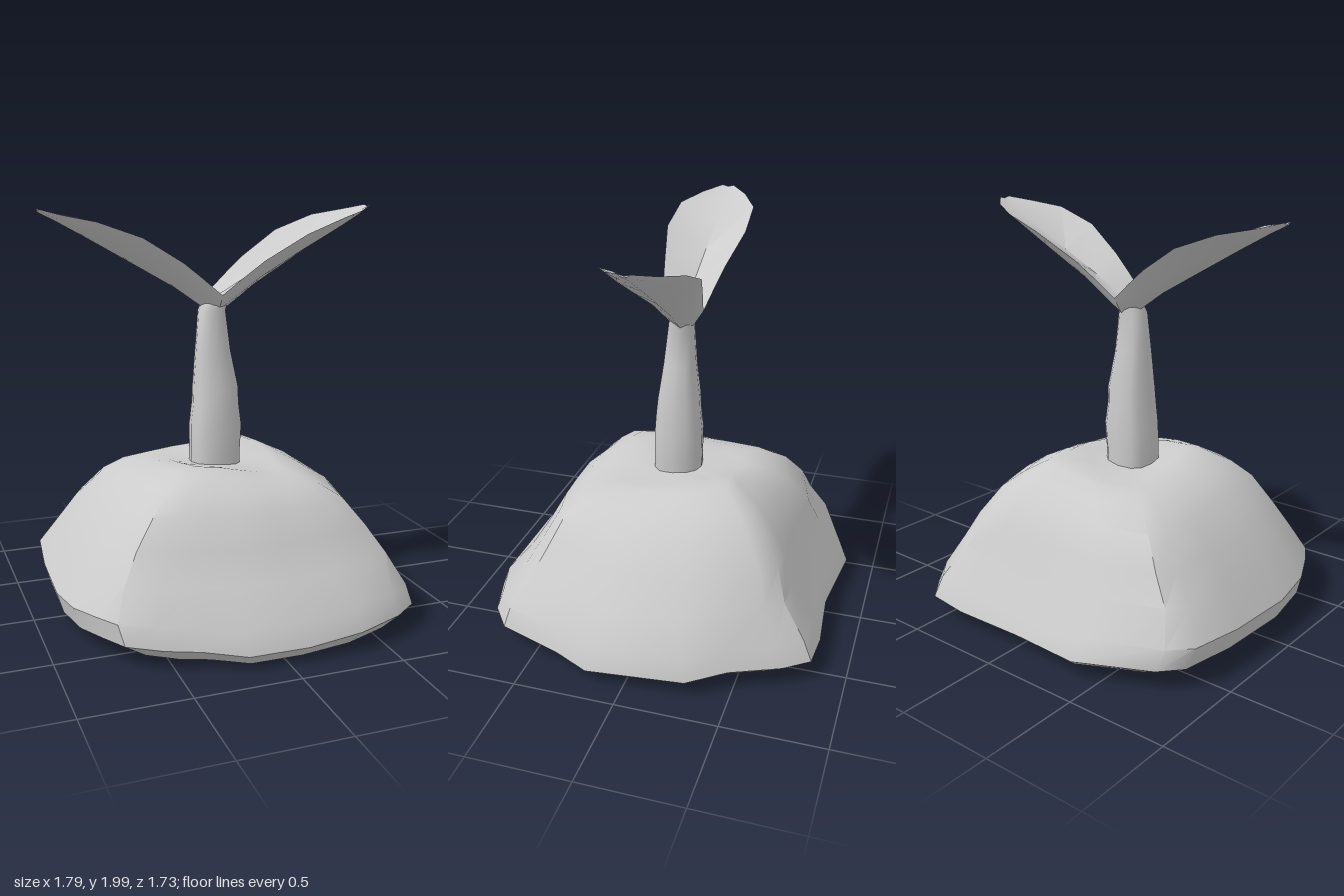
import * as THREE from 'three';
import { toCreasedNormals } from 'three/addons/utils/BufferGeometryUtils.js';

// Skin a list of closed rings (arrays of [x, y, z]); both ends are capped at their mean centre.
function loft(rings, crease) {
  const n = rings[0].length;
  const mean = (r) => [0, 1, 2].map((k) => r.reduce((s, p) => s + p[k], 0) / n);
  const last = rings.length - 1;
  const points = [...rings.flat(), mean(rings[0]), mean(rings[last])];
  const index = [];
  for (let j = 0; j < n; j++) {
    const k = (j + 1) % n;
    for (let i = 0; i < last; i++) {
      const a = i * n + j, b = i * n + k;
      index.push(a, b, b + n, a, b + n, a + n);
    }
    index.push(points.length - 2, k, j);
    index.push(points.length - 1, last * n + j, last * n + k);
  }
  const geometry = new THREE.BufferGeometry();
  geometry.setAttribute('position', new THREE.Float32BufferAttribute(points.flat(), 3));
  geometry.setIndex(index);
  return toCreasedNormals(geometry, crease);
}

// Lumpy, rounded-square outline of the mound, seen from above as [x, z].
const outline = [
  [-0.2, 0.86], [0.1, 0.86], [0.37, 0.845], [0.6, 0.77], [0.73, 0.67], [0.82, 0.35], [0.89, 0.18],
  [0.86, -0.3], [0.75, -0.48], [0.65, -0.72], [0.55, -0.84], [0.35, -0.85], [0, -0.82],
  [-0.4, -0.87], [-0.77, -0.72], [-0.86, -0.61], [-0.89, -0.3], [-0.9, 0.1], [-0.87, 0.35],
  [-0.8, 0.52], [-0.73, 0.65], [-0.57, 0.74], [-0.4, 0.78],
];

// Mound levels: y, reach to -x, +x, -z, +z, lift at the four corners,
// lift at the front right and back left corners only, and squareness.
const levels = [
  [0.02, 0.74, 0.8, 0.78, 0.8, 0.014, 0, 0],
  [0.09, 0.87, 0.89, 0.865, 0.86, 0.022, 0, 0],
  [0.19, 0.9, 0.86, 0.82, 0.825, 0.02, 0, 0],
  [0.34, 0.805, 0.75, 0.7, 0.695, 0.012, 0, 0.15],
  [0.48, 0.7, 0.635, 0.645, 0.605, 0.006, 0, 0.25],
  [0.62, 0.575, 0.515, 0.545, 0.53, 0, 0.006, 0.32],
  [0.692, 0.475, 0.4, 0.46, 0.45, 0, 0.012, 0.32],
  [0.74, 0.36, 0.29, 0.37, 0.35, 0, 0.02, 0.3],
  [0.75, 0.27, 0.23, 0.32, 0.27, 0, 0.028, 0.25],
  [0.738, 0.18, 0.12, 0.2, 0.16, 0, 0.01, 0.2],
];

function moundGeometry() {
  const rings = levels.map(([y, left, right, back, front, corners, diagonal, square]) =>
    outline.map(([x, z]) => {
      const u = x / (x < 0 ? 0.9 : 0.89), v = z / (z < 0 ? 0.87 : 0.86);
      const grow = 1 + square * (1 / Math.max(Math.abs(u), Math.abs(v)) - 1);
      const angle = Math.atan2(x, z);
      return [
        u * grow * (x < 0 ? left : right),
        y + corners * Math.sin(4 * angle - 1.4) - diagonal * Math.sin(2 * angle),
        v * grow * (z < 0 ? back : front),
      ];
    }));
  return loft(rings, 0.6);
}

// Stem levels: y, min x, max x, min z, max z; the top one is hidden inside the leaf bases.
const stemLevels = [
  [0.68, -0.178, 0.066, -0.12, 0.12],
  [0.8, -0.178, 0.068, -0.12, 0.12],
  [0.93, -0.176, 0.077, -0.123, 0.117],
  [1.04, -0.163, 0.062, -0.112, 0.11],
  [1.12, -0.16, 0.062, -0.108, 0.1],
  [1.3, -0.147, 0.025, -0.085, 0.075],
  [1.5, -0.13, 0.002, -0.073, 0.052],
  [1.56, -0.1, 0.02, -0.08, 0.04],
];

function stemGeometry() {
  const sides = 12;
  const soft = (v) => Math.sign(v) * Math.abs(v) ** 0.75;
  const rings = stemLevels.map(([y, x0, x1, z0, z1]) =>
    Array.from({ length: sides }, (_, j) => {
      const a = (j / sides) * Math.PI * 2;
      return [
        (x0 + x1) / 2 + soft(Math.sin(a)) * (x1 - x0) / 2,
        y,
        (z0 + z1) / 2 + soft(Math.cos(a)) * (z1 - z0) / 2,
      ];
    }));
  return loft(rings, 0.9);
}

// Leaf stations: distance out, edge y, upper midrib y, lower midrib y, half width.
const leafStations = [
  [0, 1.58, 1.565, 1.47, 0.105],
  [0.1, 1.665, 1.612, 1.54, 0.13],
  [0.2, 1.745, 1.663, 1.615, 0.155],
  [0.4, 1.87, 1.765, 1.737, 0.205],
  [0.6, 1.945, 1.877, 1.858, 0.195],
  [0.74, 1.975, 1.95, 1.94, 0.115],
  [0.82, 1.998, 1.99, 1.983, 0.03],
];

function leafGeometry(side, length) {
  const midZ = -0.02;
  const rings = leafStations.map(([d, edge, top, under, w]) => {
    const x = -0.04 + side * d * length / 0.82;
    const belly = under + (edge - under) * 0.33;
    const ring = [
      [x, top, midZ], [x, edge, midZ + w], [x, belly, midZ + w * 0.55],
      [x, under, midZ], [x, belly, midZ - w * 0.55], [x, edge, midZ - w],
    ];
    return side > 0 ? ring : ring.reverse();
  });
  return loft(rings, 0.85);
}

export function createModel() {
  const model = new THREE.Group();
  model.name = 'sprout';
  const material = new THREE.MeshStandardMaterial({ color: 0xcccccc });
  const add = (name, geometry) => {
    const mesh = new THREE.Mesh(geometry, material);
    mesh.name = name;
    model.add(mesh);
  };
  add('soilMound', moundGeometry());
  add('stem', stemGeometry());
  add('leftLeaf', leafGeometry(1, 0.82));
  add('rightLeaf', leafGeometry(-1, 0.86));
  return model;
}
